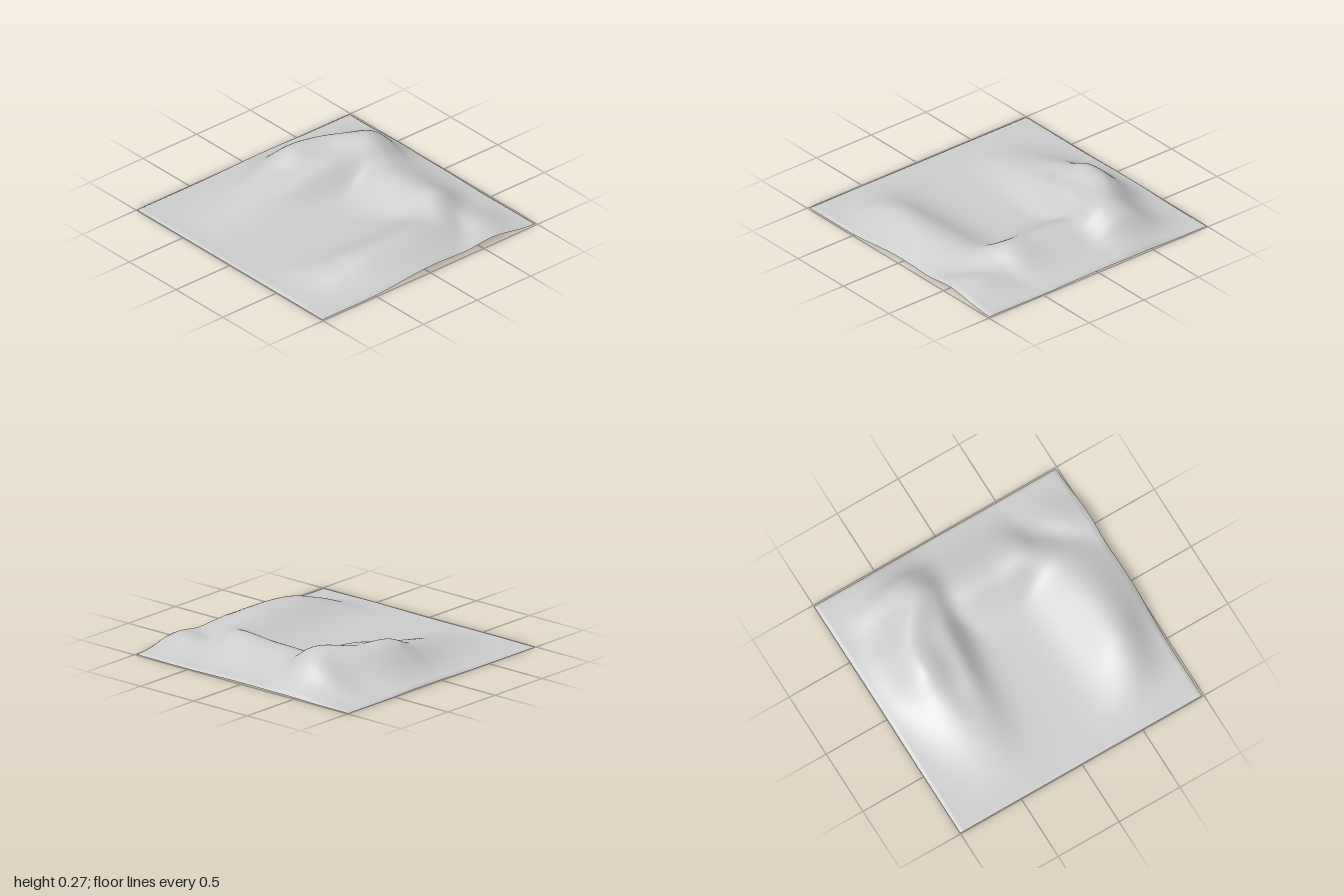
import * as THREE from 'three';

// Ridges: each row is [position along, crest offset, height, width before crest, width after crest].
const backRidge = [
  [-1, -0.5, 0.001, 0.25, 0.25], [-0.8, -0.5, 0.012, 0.25, 0.22], [-0.5, -0.53, 0.06, 0.25, 0.22],
  [-0.1, -0.6, 0.158, 0.23, 0.23], [0.1, -0.61, 0.238, 0.22, 0.25], [0.35, -0.57, 0.24, 0.24, 0.29],
  [0.6, -0.41, 0.256, 0.29, 0.26], [0.75, -0.41, 0.2, 0.29, 0.26], [0.87, -0.42, 0.09, 0.28, 0.27], [1, -0.42, 0.003, 0.3, 0.3],
];
const terrace = [
  [-0.85, -0.42, 0, 0.15, 0.15], [-0.6, -0.42, 0.025, 0.15, 0.15], [-0.3, -0.41, 0.08, 0.17, 0.15],
  [0, -0.38, 0.14, 0.19, 0.14], [0.3, -0.35, 0.175, 0.2, 0.15], [0.6, -0.29, 0.125, 0.18, 0.14], [0.85, -0.29, 0, 0.15, 0.15],
];
const frontRidge = [
  [-1, 0.5, 0.002, 0.3, 0.28], [-0.8, 0.57, 0.027, 0.28, 0.24], [-0.6, 0.65, 0.093, 0.27, 0.19],
  [-0.35, 0.7, 0.156, 0.27, 0.2], [-0.05, 0.71, 0.163, 0.28, 0.26], [0.2, 0.68, 0.14, 0.28, 0.3],
  [0.4, 0.62, 0.098, 0.27, 0.33], [0.6, 0.56, 0.04, 0.25, 0.33], [0.8, 0.55, 0, 0.25, 0.3],
];
const sideRidge = [
  [-0.6, 0.55, 0, 0.22, 0.29], [-0.35, 0.54, 0.08, 0.22, 0.29], [-0.1, 0.52, 0.138, 0.22, 0.3],
  [0.2, 0.52, 0.152, 0.22, 0.28], [0.43, 0.52, 0.173, 0.2, 0.24], [0.6, 0.45, 0.118, 0.2, 0.23],
  [0.75, 0.38, 0.06, 0.2, 0.22], [0.95, 0.34, 0, 0.2, 0.22],
];
const spur = [
  [0.4, 0.66, 0, 0.15, 0.2], [0.6, 0.64, 0.055, 0.16, 0.21], [0.8, 0.62, 0.084, 0.18, 0.22], [1, 0.56, 0.064, 0.28, 0.27],
];

// Smooth cubic interpolation of one column of a ridge.
function sample(rows, u, col) {
  const last = rows.length - 1;
  if (u <= rows[0][0]) return rows[0][col];
  if (u >= rows[last][0]) return rows[last][col];
  let i = 0;
  while (u > rows[i + 1][0]) i++;
  const slope = (k) => {
    const a = rows[Math.max(k - 1, 0)], b = rows[Math.min(k + 1, last)];
    return (b[col] - a[col]) / (b[0] - a[0]);
  };
  const d = rows[i + 1][0] - rows[i][0], t = (u - rows[i][0]) / d, s = 1 - t;
  return (1 + 2 * t) * s * s * rows[i][col] + t * s * s * d * slope(i)
    + t * t * (3 - 2 * t) * rows[i + 1][col] - t * t * s * d * slope(i + 1);
}

// Bell-shaped cross-section, with its own width on each side of the crest.
function ridgeHeight(rows, along, across) {
  const d = across - sample(rows, along, 1);
  const w = sample(rows, along, d < 0 ? 3 : 4);
  return Math.max(0, sample(rows, along, 2)) * Math.exp(-((d / w) ** 2));
}

// Ridges merge by a soft maximum.
function height(x, z) {
  const parts = [
    ridgeHeight(backRidge, x, z), ridgeHeight(terrace, x, z), ridgeHeight(frontRidge, x, z),
    ridgeHeight(sideRidge, z, x), ridgeHeight(spur, z, x),
  ];
  return 0.008 + Math.cbrt(parts.reduce((sum, h) => sum + h ** 3, 0));
}

export function createModel() {
  const group = new THREE.Group();
  group.name = 'landscape';

  // Thin open sheet, raised into hills.
  const n = 120;
  const geometry = new THREE.PlaneGeometry(1.985, 1.985, n, n);
  geometry.rotateX(-Math.PI / 2);
  geometry.translate(-0.0025, 0, -0.0075);
  const pos = geometry.attributes.position;
  for (let i = 0; i < pos.count; i++) {
    const x = pos.getX(i), z = pos.getZ(i);
    const y = height(x, z);
    const col = i % (n + 1), row = Math.floor(i / (n + 1));
    const rim = col === 0 || col === n || row === 0 || row === n;
    pos.setY(i, rim ? Math.max(0, y - 0.012) : y);
    // Front lip flares out where the edge is high.
    if (row === n) pos.setZ(i, z + Math.min(0.015, y * 0.22));
  }
  geometry.computeVertexNormals();

  const terrain = new THREE.Mesh(geometry, new THREE.MeshStandardMaterial({ color: 0xcccccc, side: THREE.DoubleSide }));
  terrain.name = 'terrain';
  group.add(terrain);
  return group;
}
